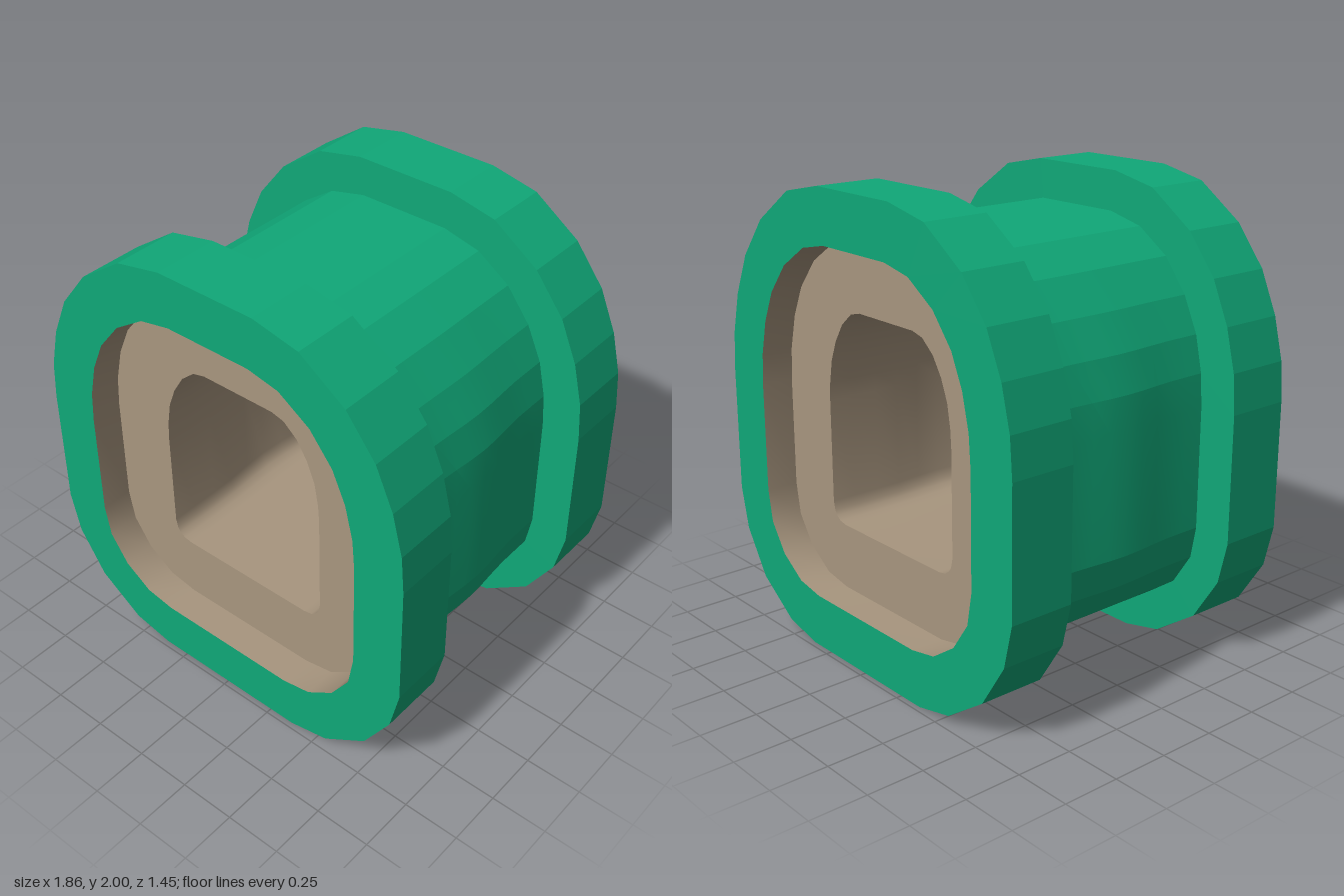
import * as THREE from 'three';
import { toCreasedNormals } from 'three/addons/utils/BufferGeometryUtils.js';

// Right halves of the cross-sections, from the top down to the bottom
const RIM = [[0.23, 2], [0.445, 1.955], [0.655, 1.81], [0.79, 1.64], [0.87, 1.46], [0.915, 1.28],
  [0.928, 1.11], [0.928, 0.56], [0.885, 0.375], [0.76, 0.18], [0.555, 0.04], [0.37, 0]];
const BODY = [[0.21, 1.83], [0.38, 1.79], [0.53, 1.69], [0.64, 1.55], [0.71, 1.4], [0.745, 1.245],
  [0.755, 1.1], [0.755, 0.58], [0.73, 0.44], [0.64, 0.3], [0.505, 0.205], [0.36, 0.18]];
const MOUTH = [[0.2, 1.77], [0.345, 1.74], [0.49, 1.645], [0.595, 1.515], [0.655, 1.38], [0.69, 1.23],
  [0.7, 1.09], [0.7, 0.61], [0.675, 0.47], [0.59, 0.345], [0.465, 0.26], [0.33, 0.235]];
const BORE = [[0.175, 1.48], [0.235, 1.465], [0.3, 1.41], [0.35, 1.33], [0.385, 1.24], [0.402, 1.14],
  [0.407, 1.06], [0.407, 0.61], [0.398, 0.57], [0.385, 0.55], [0.36, 0.532], [0.32, 0.525]];

// Closed loop at depth z, mirrored in x, with the sides pushed out by bulge
function ring(half, z, bulge = 0) {
  const widest = Math.max(...half.map(p => p[0]));
  const right = half.map(([x, y]) => [x + bulge * Math.pow(x / widest, 6), y, z]);
  return [...right, ...right.map(([x, y]) => [-x, y, z]).reverse()];
}

// Skin joining consecutive loops
function loft(rings, crease) {
  const n = rings[0].length, index = [];
  for (let r = 0; r < rings.length - 1; r++) {
    for (let i = 0; i < n; i++) {
      const a = r * n + i, b = r * n + (i + 1) % n;
      index.push(a, b, b + n, a, b + n, a + n);
    }
  }
  const geo = new THREE.BufferGeometry();
  geo.setAttribute('position', new THREE.Float32BufferAttribute(rings.flat(2), 3));
  geo.setIndex(index);
  return toCreasedNormals(geo, crease);
}

// Barrel-like run of loops from one depth to another
function run(half, from, to, swell) {
  const steps = 10;
  return Array.from({ length: steps + 1 }, (_, i) => {
    const z = from + (to - from) * i / steps;
    const bulge = Math.abs(z) < 0.3 ? swell * Math.cos(Math.PI * z / 0.6) ** 2 : 0;
    return ring(half, z, bulge);
  });
}

export function createModel() {
  const green = new THREE.MeshStandardMaterial({ color: 0x10a878 });
  green.name = 'green';
  const tan = new THREE.MeshStandardMaterial({ color: 0xa8967f });
  tan.name = 'tan';

  const model = new THREE.Group();
  model.name = 'flangedSleeve';
  const add = (name, rings, material, crease) => {
    const mesh = new THREE.Mesh(loft(rings, crease), material);
    mesh.name = name;
    model.add(mesh);
  };

  const END = 0.725, NECK = 0.435, SEAT = 0.58;

  // Green shell: two flanges and the swelling tube between them
  add('frontFlange', [ring(MOUTH, END), ring(RIM, END), ring(RIM, NECK), ring(BODY, NECK)], green, 0.05);
  add('tube', run(BODY, NECK, -NECK, 0.02), green, 0.15);
  add('backFlange', [ring(BODY, -NECK), ring(RIM, -NECK), ring(RIM, -END), ring(MOUTH, -END)], green, 0.05);

  // Tan lining: recess and seat at each end, with the bore through the middle
  add('backRecess', [ring(MOUTH, -END), ring(MOUTH, -SEAT), ring(BORE, -SEAT)], tan, 0.7);
  add('bore', run(BORE, -SEAT, SEAT, 0.02), tan, 0.7);
  add('frontRecess', [ring(BORE, SEAT), ring(MOUTH, SEAT), ring(MOUTH, END)], tan, 0.7);

  return model;
}
